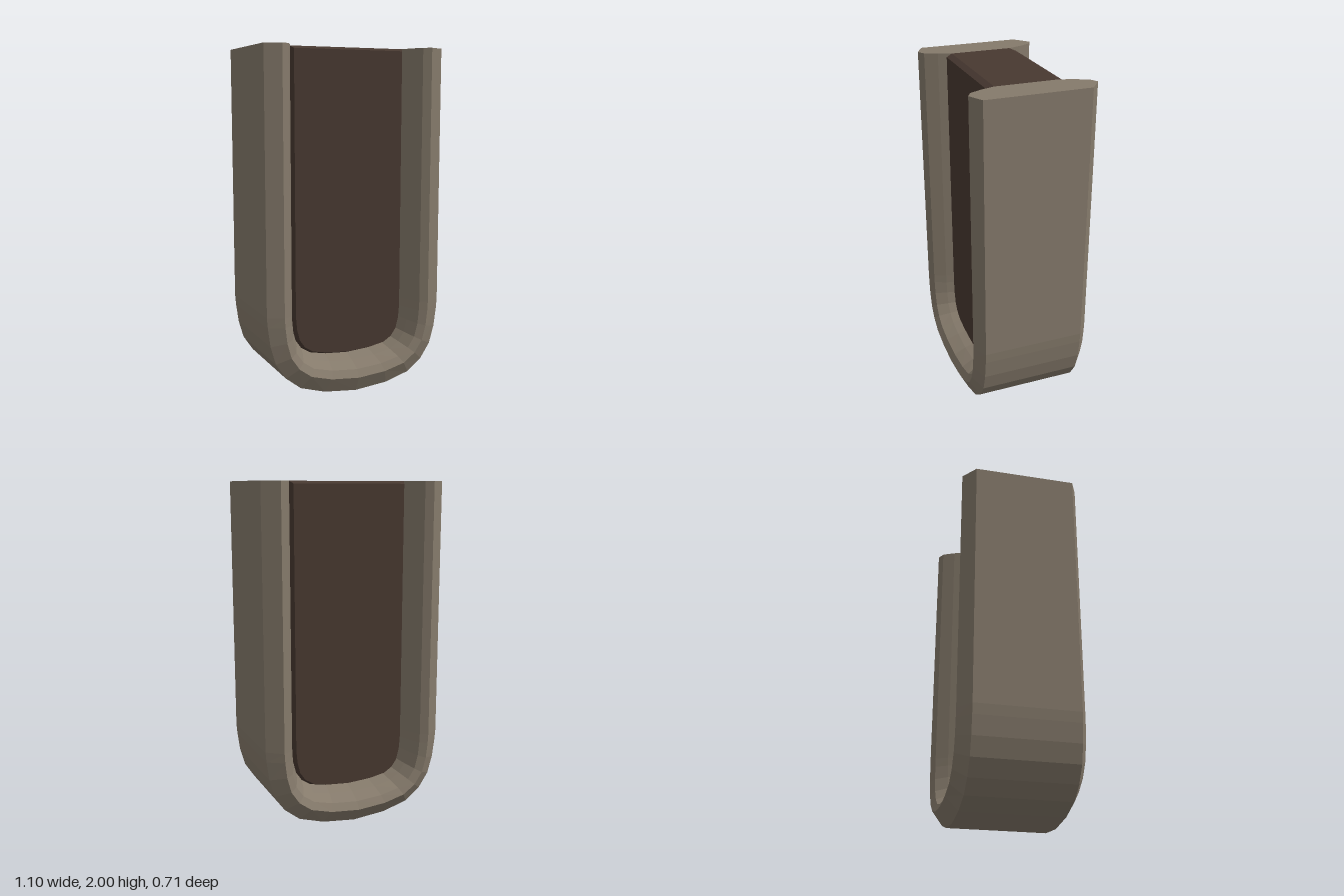
import * as THREE from 'three';

// Half outlines of the U, from the top of the left arm to the bottom centre
const outerHalf = [[0.55, 2], [0.55, 0.5], [0.545, 0.44], [0.53, 0.33], [0.5, 0.225], [0.44, 0.135], [0.35, 0.065], [0.2, 0.02], [0, 0]];
const innerHalf = [[0.355, 2], [0.355, 0.5], [0.354, 0.45], [0.348, 0.38], [0.33, 0.31], [0.295, 0.26], [0.24, 0.225], [0.14, 0.205], [0, 0.195]];

const mirrored = (half) => [...half, ...half.slice(0, -1).reverse().map(([x, y]) => [-x, y])];

// Rim cross-section: [share of the way from outer to inner outline, z]
const rimProfile = [
  [0, 0.31], [0.46, 0.355], [0.69, 0.33], [0.87, 0.257], [1, 0.18],
  [1, -0.18], [0.87, -0.257], [0.69, -0.33], [0.46, -0.355], [0, -0.285],
];

function rimGeometry() {
  const outer = mirrored(outerHalf);
  const inner = mirrored(innerHalf);
  const n = rimProfile.length;
  const positions = [];
  const index = [];
  outer.forEach(([ox, oy], i) => {
    const [ix, iy] = inner[i];
    for (const [t, z] of rimProfile) positions.push(ox + (ix - ox) * t, oy + (iy - oy) * t, z);
  });
  for (let i = 0; i < outer.length - 1; i++) {
    for (let j = 0; j < n; j++) {
      const k = (j + 1) % n;
      const a = i * n + j, b = i * n + k, c = b + n, d = a + n;
      index.push(a, b, c, a, c, d);
    }
  }
  // Flat tops of the two arms
  const end = (outer.length - 1) * n;
  for (let k = 1; k < n - 1; k++) {
    index.push(0, k + 1, k);
    index.push(end, end + k, end + k + 1);
  }
  const geometry = new THREE.BufferGeometry();
  geometry.setAttribute('position', new THREE.Float32BufferAttribute(positions, 3));
  geometry.setIndex(index);
  const flat = geometry.toNonIndexed();
  flat.computeVertexNormals();
  return flat;
}

// Core slab filling the U, with chamfered edges
function coreGeometry() {
  const shape = new THREE.Shape(mirrored(innerHalf).map(([x, y]) => new THREE.Vector2(x, y)));
  const geometry = new THREE.ExtrudeGeometry(shape, {
    depth: 0.36, bevelEnabled: true, bevelThickness: 0.036, bevelSize: 0.015, bevelOffset: -0.015, bevelSegments: 1,
  });
  return geometry.translate(0, 0, -0.18);
}

export function createModel() {
  const stone = new THREE.MeshStandardMaterial({ color: 0x857a6b });
  stone.name = 'taupe';
  stone.flatShading = true;
  const dark = new THREE.MeshStandardMaterial({ color: 0x473830 });
  dark.name = 'dark brown';
  dark.flatShading = true;

  const model = new THREE.Group();
  model.name = 'framedPanel';

  const rim = new THREE.Mesh(rimGeometry(), stone);
  rim.name = 'rim';
  const core = new THREE.Mesh(coreGeometry(), dark);
  core.name = 'corePanel';
  model.add(rim, core);
  return model;
}
